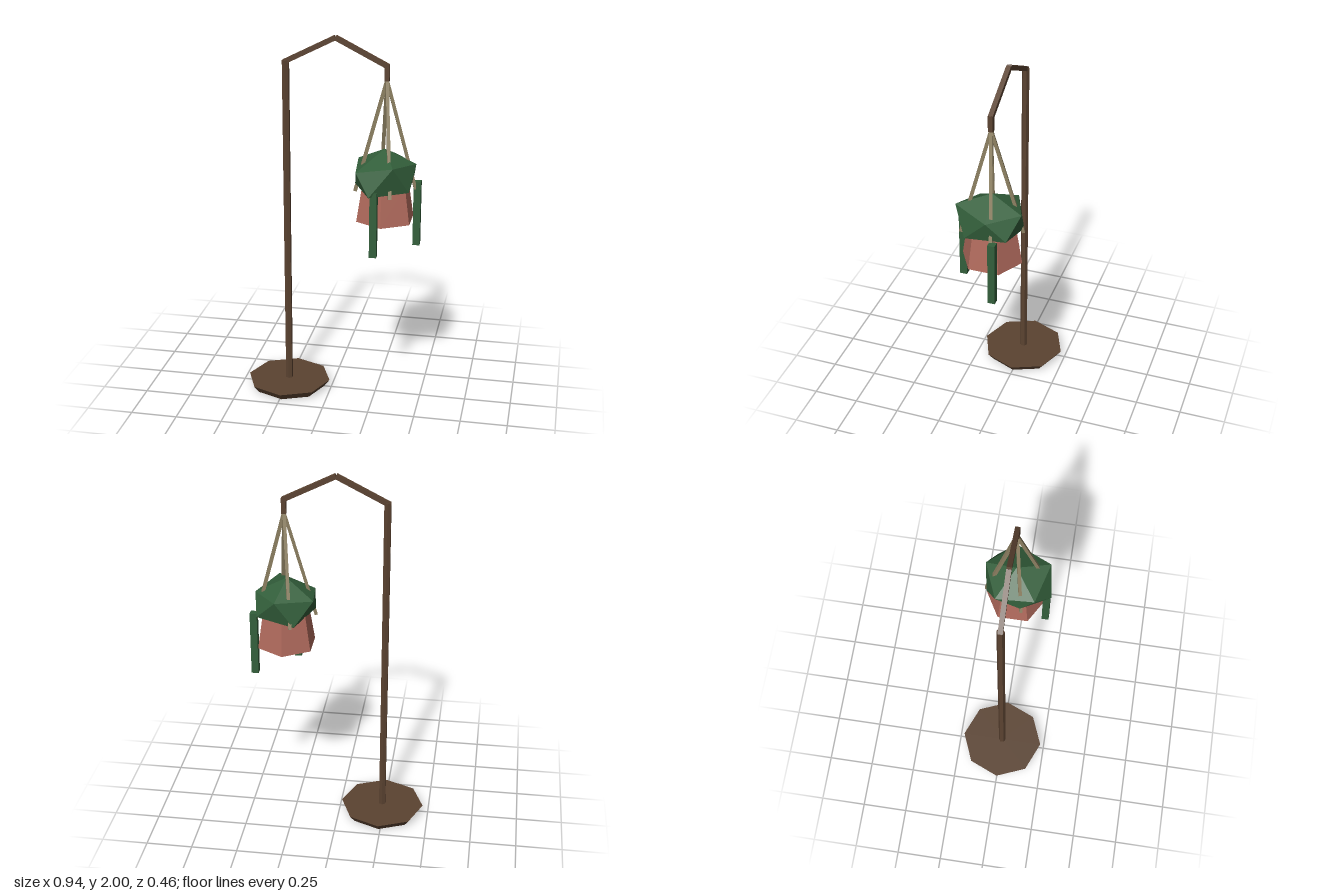
import * as THREE from 'three';
import { ConvexGeometry } from 'three/addons/geometries/ConvexGeometry.js';

const mat = (color) => new THREE.MeshStandardMaterial({ color, flatShading: true });
const V = (x, y, z) => new THREE.Vector3(x, y, z);

export function createModel() {
  const root = new THREE.Group();
  const wood = mat(0x5b4331), clay = mat(0xb06a5c), leaf = mat(0x335f3b), twine = mat(0x8f8263);
  const poleX = -0.24, potX = 0.29;

  const add = (name, geometry, material, x = 0, y = 0, z = 0) => {
    const mesh = new THREE.Mesh(geometry, material);
    mesh.name = name;
    mesh.position.set(x, y, z);
    root.add(mesh);
    return mesh;
  };

  // Square bar running between two points
  const bar = (name, a, b, size, material) => {
    const dir = b.clone().sub(a);
    const mid = a.clone().add(b).multiplyScalar(0.5);
    const mesh = add(name, new THREE.BoxGeometry(size, dir.length(), size), material, mid.x, mid.y, mid.z);
    mesh.quaternion.setFromUnitVectors(V(0, 1, 0), dir.normalize());
    return mesh;
  };

  // Octagonal foot and hexagonal pole
  add('base', new THREE.CylinderGeometry(0.23, 0.2, 0.04, 8), wood, poleX, 0.02, 0);
  add('pole', new THREE.CylinderGeometry(0.02, 0.02, 1.86, 6), wood, poleX, 0.93, 0);

  // Peaked arm with a short drop at its end
  const peak = V(0.022, 1.988, 0);
  bar('armRise', V(poleX - 0.01, 1.85, 0), peak, 0.025, wood);
  bar('armFall', peak, V(potX + 0.005, 1.85, 0), 0.025, wood);
  bar('armDrop', V(potX, 1.86, 0), V(potX, 1.775, 0), 0.025, wood);

  // Four ropes spreading from the drop to the pot
  for (let i = 0; i < 4; i++) {
    const a = 0.29 + i * Math.PI / 2;
    const end = V(potX + 0.16 * Math.cos(a), 1.19, -0.16 * Math.sin(a));
    bar('rope', V(potX, 1.78, 0), end, 0.017, twine).rotateY(a);
  }

  // Hexagonal pot, wider at the bottom
  add('pot', new THREE.CylinderGeometry(0.13, 0.162, 0.2, 6), clay, potX, 1.13, 0);

  // Faceted clump: apex, upper ring, lower ring, underside point
  const clump = [
    V(0.283, 1.415, 0.0),
    V(0.322, 1.34, -0.167), V(0.448, 1.335, -0.02), V(0.352, 1.36, 0.172), V(0.15, 1.31, 0.114), V(0.13, 1.33, -0.09),
    V(0.425, 1.235, -0.12), V(0.427, 1.215, 0.1), V(0.231, 1.205, 0.194), V(0.136, 1.23, 0.04), V(0.225, 1.2, -0.15),
    V(0.29, 1.165, 0.01),
  ];
  add('foliage', new ConvexGeometry(clump), leaf);

  // Hanging vines
  for (const [x, z] of [[0.255, 0.168], [0.453, -0.057]]) {
    add('vine', new THREE.BoxGeometry(0.038, 0.355, 0.038), leaf, x, 1.052, z);
  }
  return root;
}
